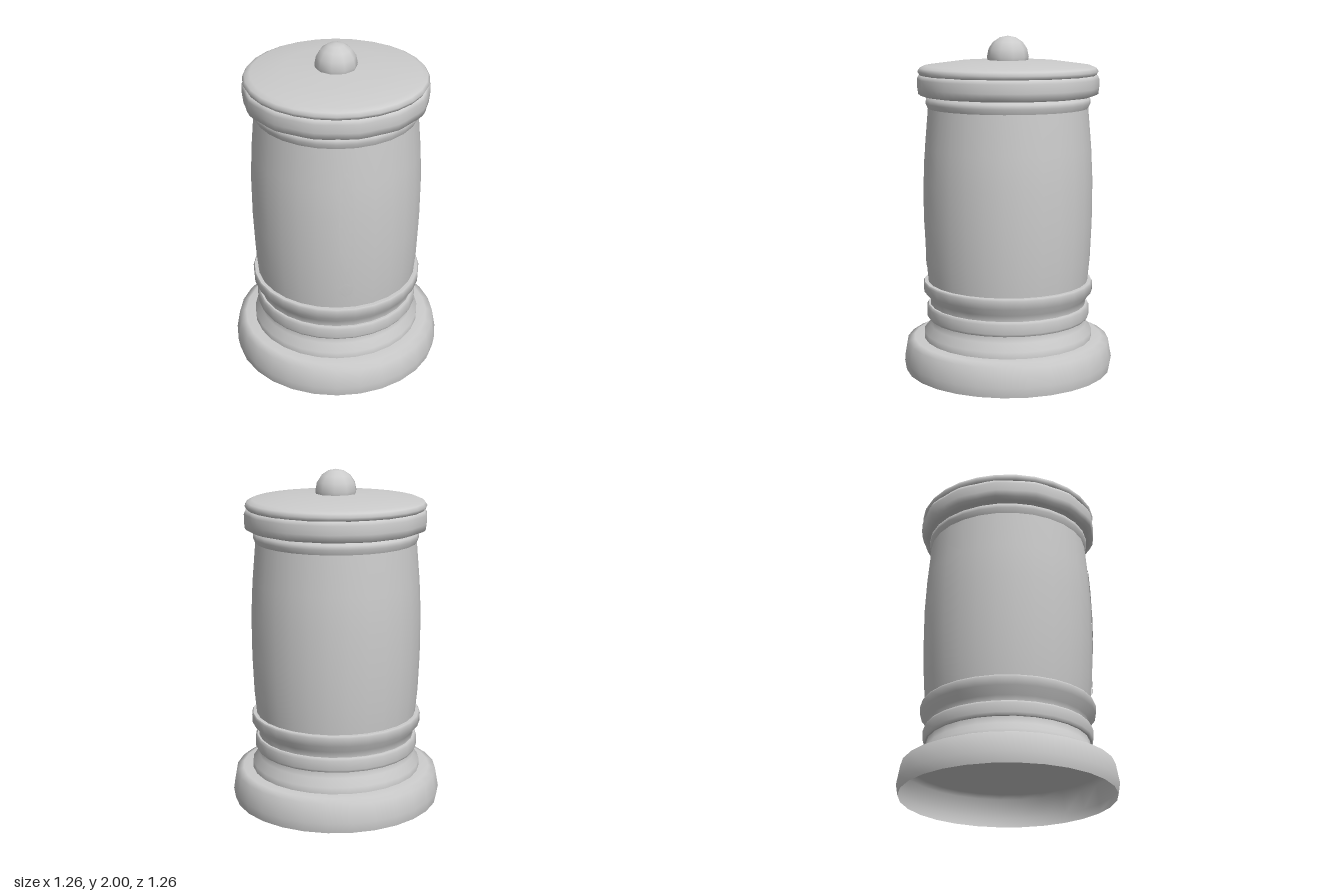
import * as THREE from 'three';

const SIDES = 28;
const grey = new THREE.MeshStandardMaterial({ color: 0xcccccc, side: THREE.DoubleSide });
grey.name = 'light grey';

// Body outline, bottom to top
const BODY = [[0.482, 0.54], [0.495, 0.68], [0.504, 0.9], [0.505, 1.15], [0.495, 1.35], [0.475, 1.58]];

function bodyRadius(y) {
  for (let i = 1; i < BODY.length; i++) {
    const [r0, y0] = BODY[i - 1], [r1, y1] = BODY[i];
    if (y <= y1) return r0 + (r1 - r0) * (y - y0) / (y1 - y0);
  }
  return BODY[BODY.length - 1][0];
}

// Each profile is smooth; the edges between profiles stay sharp
function turned(name, profiles, sides = SIDES) {
  const part = new THREE.Group();
  part.name = name;
  profiles.forEach((profile, i) => {
    const points = profile.map(([r, y]) => new THREE.Vector2(r, y));
    const mesh = new THREE.Mesh(new THREE.LatheGeometry(points, sides), grey);
    mesh.name = `${name}Surface${i + 1}`;
    part.add(mesh);
  });
  return part;
}

// Thin inlay wrapped on the body; rows are [y, half width]
function inlay(name, rows) {
  const positions = [], index = [], centre = 0.33, columns = 4;
  rows.forEach(([y, half], j) => {
    const r = bodyRadius(y) + 0.004;
    for (let i = 0; i <= columns; i++) {
      const a = centre + (i / columns * 2 - 1) * half / r;
      positions.push(r * Math.sin(a), y, r * Math.cos(a));
      if (j && i) {
        const d = j * (columns + 1) + i, c = d - 1, b = d - columns - 1, a0 = b - 1;
        index.push(a0, b, d, a0, d, c);
      }
    }
  });
  const geometry = new THREE.BufferGeometry();
  geometry.setAttribute('position', new THREE.Float32BufferAttribute(positions, 3));
  geometry.setIndex(index);
  geometry.computeVertexNormals();
  const mesh = new THREE.Mesh(geometry, grey);
  mesh.name = name;
  return mesh;
}

export function createModel() {
  const model = new THREE.Group();
  model.name = 'turnedJar';

  // Hollow flared foot, open below
  model.add(turned('foot', [
    [[0.622, 0], [0.632, 0.06], [0.612, 0.172], [0.57, 0.19], [0.48, 0.192]],
  ]));

  // Stacked mouldings
  model.add(turned('lowerMoulding', [
    [[0, 0.186], [0.51, 0.186]],
    [[0.51, 0.186], [0.51, 0.23], [0.475, 0.275], [0.472, 0.315]],
  ]));
  model.add(turned('middleRing', [
    [[0.4, 0.314], [0.482, 0.314]],
    [[0.482, 0.314], [0.492, 0.33], [0.492, 0.385], [0.482, 0.4]],
    [[0.482, 0.4], [0.4, 0.4]],
  ]));
  model.add(turned('upperMoulding', [
    [[0.47, 0.395], [0.472, 0.435], [0.51, 0.48], [0.512, 0.53], [0.505, 0.541]],
    [[0.505, 0.541], [0.4, 0.541]],
  ]));

  // Swelling body with a small collar at the neck
  model.add(turned('body', [BODY]));
  model.add(turned('neckCollar', [
    [[0.475, 1.58], [0.488, 1.61], [0.486, 1.635], [0.465, 1.65]],
  ]));

  // Long and round inlays on the front
  model.add(inlay('longInlay', [
    [0.8, 0.004], [0.83, 0.02], [0.93, 0.039], [1.1, 0.041],
    [1.27, 0.039], [1.4, 0.022], [1.44, 0.004],
  ]));
  model.add(inlay('roundInlay', [[0.625, 0.004], [0.65, 0.04], [0.695, 0.04], [0.72, 0.004]]));

  // Lid rim, gently scalloped around its edge
  const rim = turned('lidRim', [
    [[0.45, 1.65], [0.5, 1.652], [0.528, 1.662], [0.533, 1.7], [0.533, 1.75], [0.523, 1.772], [0.48, 1.785]],
  ], SIDES * 2);
  rim.children.forEach(({ geometry }) => {
    const p = geometry.attributes.position;
    const normals = geometry.attributes.normal.clone();
    for (let i = 0; i < p.count; i++) {
      const wave = 1 + 0.009 * Math.cos(14 * Math.atan2(p.getX(i), p.getZ(i)));
      p.setX(i, p.getX(i) * wave);
      p.setZ(i, p.getZ(i) * wave);
    }
    geometry.setAttribute('normal', normals);
  });
  model.add(rim);

  // Shallow domed lid
  model.add(turned('lidTop', [
    [[0.49, 1.755], [0.522, 1.775], [0.533, 1.795], [0.52, 1.815], [0.49, 1.828], [0.3, 1.853], [0, 1.862]],
  ]));

  // Round knob
  const knob = new THREE.Mesh(new THREE.SphereGeometry(0.123, 10, 8).rotateY(Math.PI / 2), grey);
  knob.name = 'knob';
  knob.position.y = 1.877;
  model.add(knob);

  return model;
}
